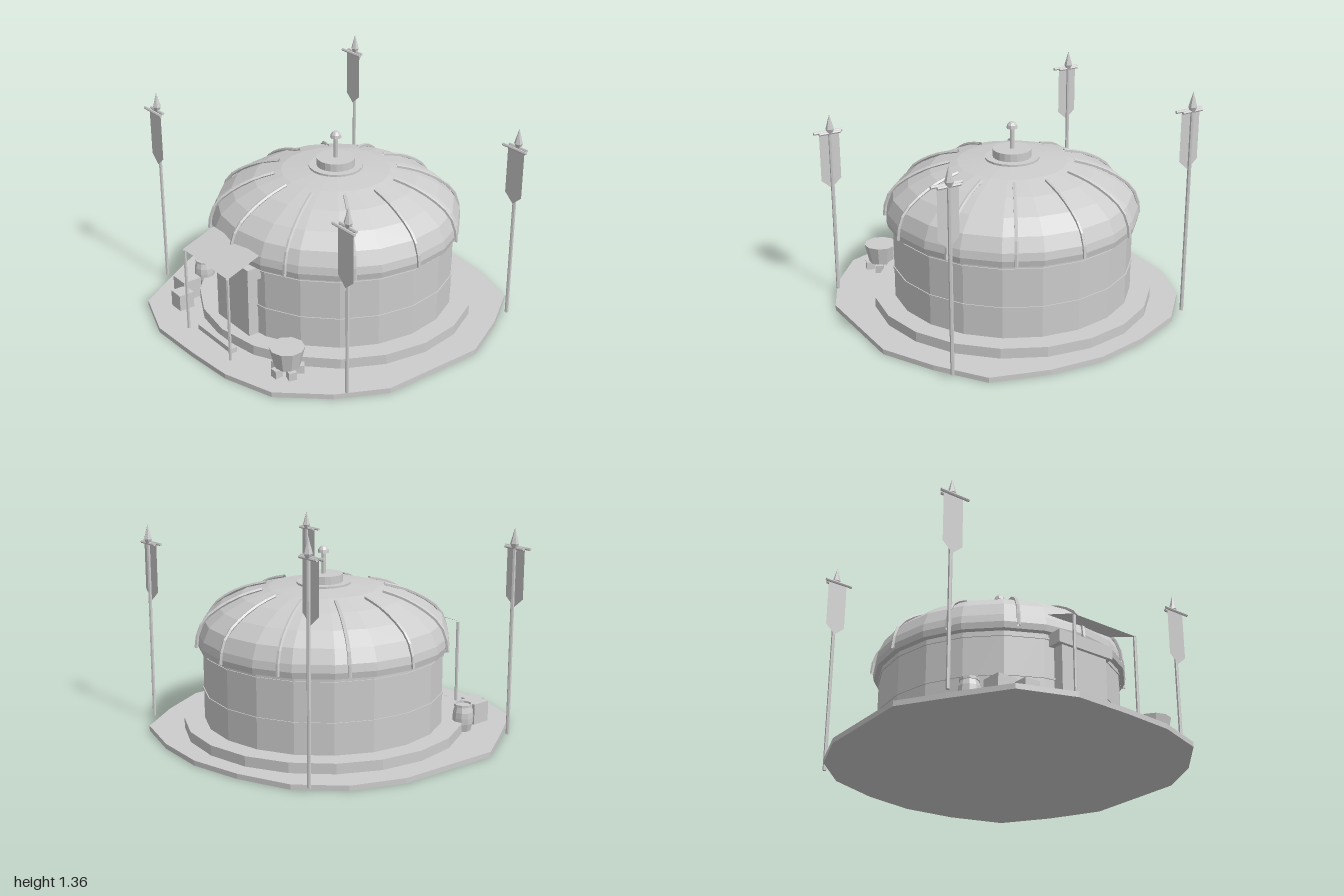
import * as THREE from 'three';

const CZ = -0.06; // centre of the hut along z

export function createModel() {
  const root = new THREE.Group();
  const grey = new THREE.MeshStandardMaterial({ color: 0xcccccc });
  grey.name = 'plain grey';
  grey.flatShading = true;
  grey.side = THREE.DoubleSide;

  const add = (name, geometry, x = 0, y = 0, z = 0, parent = root) => {
    const mesh = new THREE.Mesh(geometry, grey);
    mesh.name = name;
    mesh.position.set(x, y, z);
    parent.add(mesh);
    return mesh;
  };
  // box given by its extents
  const box = (name, x0, x1, y0, y1, z0, z1, parent) => add(name,
    new THREE.BoxGeometry(x1 - x0, y1 - y0, z1 - z0),
    (x0 + x1) / 2, (y0 + y1) / 2, (z0 + z1) / 2, parent);
  // upright cylinder standing between two heights
  const drum = (name, r, y0, y1, x, z, sides = 20, rBottom = r, parent = root) => add(name,
    new THREE.CylinderGeometry(r, rBottom, y1 - y0, sides), x, (y0 + y1) / 2, z, parent);
  const lathe = (name, profile, sides, x, y, z, parent) => add(name,
    new THREE.LatheGeometry(profile.map(([r, h]) => new THREE.Vector2(r, h)), sides), x, y, z, parent);

  // irregular ground slab
  const outline = [[0, -1], [0.32, -0.97], [0.645, -0.87], [0.83, -0.6], [0.98, -0.3], [0.98, 0.33],
    [0.84, 0.61], [0.62, 0.86], [0.32, 0.96], [0.015, 0.985], [-0.32, 0.995], [-0.635, 0.885],
    [-0.83, 0.58], [-0.98, 0.33], [-0.95, -0.3], [-0.83, -0.6], [-0.615, -0.82], [-0.31, -0.94]];
  const slab = new THREE.ExtrudeGeometry(
    new THREE.Shape(outline.map(([x, z]) => new THREE.Vector2(x, -z))), { depth: 0.03, bevelEnabled: false });
  slab.rotateX(-Math.PI / 2);
  add('groundSlab', slab);

  // plinth, wall and thin wall bands
  drum('plinth', 0.825, 0.03, 0.09, 0, CZ);
  drum('wall', 0.705, 0.09, 0.56, 0, CZ);
  for (const y of [0.265, 0.495]) drum('wallBand', 0.711, y, y + 0.012, 0, CZ);

  // domed roof with a lip
  lathe('roof', [[0.69, 0.525], [0.735, 0.53], [0.742, 0.565], [0.735, 0.61], [0.7, 0.69], [0.61, 0.765],
    [0.48, 0.83], [0.32, 0.873], [0.16, 0.89], [0, 0.893]], 20, 0, 0, CZ);

  // twelve roof ribs
  const ribPath = new THREE.CatmullRomCurve3([[0.36, 0.868], [0.48, 0.835], [0.61, 0.772], [0.7, 0.698],
    [0.738, 0.612], [0.747, 0.54]].map(([r, y]) => new THREE.Vector3(0, y, r)));
  const ribShape = new THREE.TubeGeometry(ribPath, 8, 0.011, 5);
  for (let i = 0; i < 12; i++) {
    add('roofRib', ribShape, 0, 0, CZ).rotation.y = i * Math.PI / 6;
  }

  // crown and finial
  drum('crownBase', 0.158, 0.875, 0.902, 0, CZ);
  drum('crown', 0.113, 0.902, 0.948, 0, CZ);
  drum('finialPole', 0.013, 0.948, 1.08, 0, CZ, 8);
  lathe('finialCap', [[0, 1.07], [0.033, 1.07], [0.03, 1.09], [0.017, 1.106], [0, 1.11]], 8, 0, 0, CZ);

  // doorway with lintel and step
  box('door', -0.158, 0.158, 0.03, 0.46, 0.56, 0.685);
  box('lintel', -0.19, 0.19, 0.455, 0.53, 0.56, 0.705);
  box('step', -0.17, 0.17, 0.002, 0.06, 0.78, 0.82);

  // sloping awning on two posts
  const drop = 0.078, reach = 0.21;
  const awning = add('awning', new THREE.PlaneGeometry(0.455, Math.hypot(drop, reach)), 0, 0.585, 0.755);
  awning.rotation.x = -Math.PI / 2 + Math.atan2(drop, reach);
  for (const s of [-1, 1]) drum('awningPost', 0.01, 0.03, 0.542, s * 0.218, 0.855, 6);

  // banner poles: x, z, tip height
  for (const [x, z, tip] of [[-0.85, 0.62, 1.25], [-0.72, -0.78, 1.36], [0.79, -0.74, 1.21], [0.867, 0.54, 1.135]]) {
    const banner = new THREE.Group();
    banner.name = 'bannerPole';
    banner.position.set(x, 0, z);
    root.add(banner);
    const bar = tip - 0.115;
    drum('pole', 0.011, 0.03, tip - 0.1, 0, 0, 6, 0.011, banner);
    lathe('spearHead', [[0, -0.12], [0.012, -0.12], [0.025, -0.09], [0, 0]], 6, 0, tip, 0, banner);
    for (const [half, dz] of [[0.09, 0.03], [0.068, 0]]) {
      const rod = new THREE.CylinderGeometry(0.009, 0.009, half * 2, 6);
      rod.rotateZ(Math.PI / 2);
      add('crossbar', rod, 0, bar, dz, banner);
    }
    const cloth = new THREE.Shape([[-0.063, 0], [-0.063, -0.29], [0, -0.345], [0.063, -0.29], [0.063, 0]]
      .map(([a, b]) => new THREE.Vector2(a, b)));
    add('cloth', new THREE.ShapeGeometry(cloth), 0, bar, 0.015, banner);
  }

  // barrel and crates
  lathe('barrel', [[0, 0.03], [0.048, 0.03], [0.06, 0.075], [0.062, 0.11], [0.06, 0.145], [0.05, 0.178],
    [0.056, 0.178], [0.056, 0.192], [0.046, 0.192], [0.046, 0.18], [0, 0.18]], 10, -0.62, 0, 0.485);
  box('largeCrate', -0.61, -0.49, 0.03, 0.155, 0.595, 0.715);
  box('smallCrate', -0.502, -0.407, 0.03, 0.13, 0.7, 0.797);

  // cooking pot resting on stones
  drum('pot', 0.1, 0.075, 0.192, 0.51, 0.675, 10, 0.073);
  for (let i = 0; i < 5; i++) {
    const a = i * Math.PI * 2 / 5 + 0.3;
    add('hearthStone', new THREE.BoxGeometry(0.05, 0.048, 0.045),
      0.51 + Math.cos(a) * 0.07, 0.054, 0.675 + Math.sin(a) * 0.07).rotation.y = -a;
  }
  return root;
}
